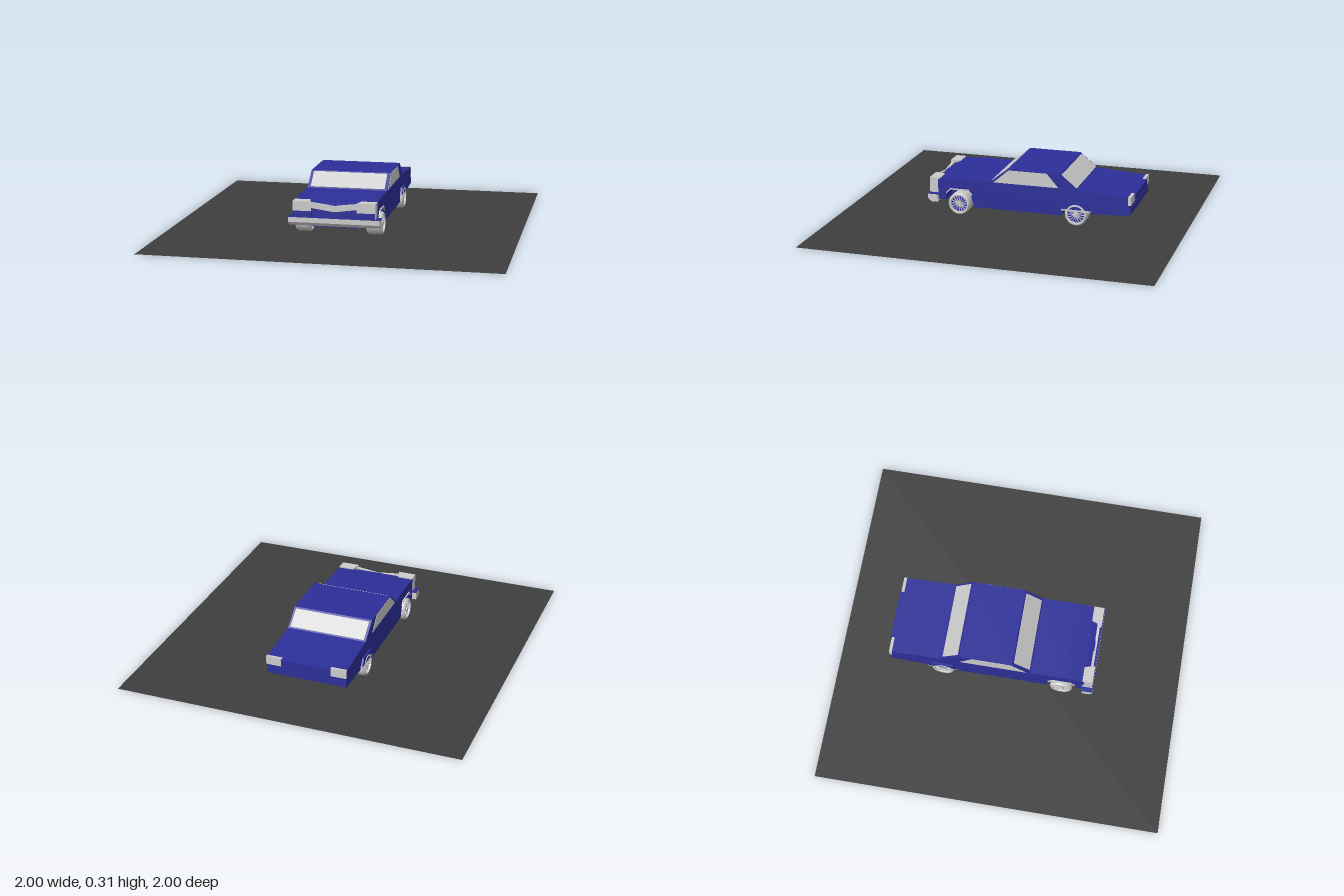
import * as THREE from 'three';

const grey = new THREE.MeshStandardMaterial({ color: 0xcccccc, flatShading: true });
const blue = new THREE.MeshStandardMaterial({ color: 0x2c2f98, flatShading: true });
const dark = new THREE.MeshStandardMaterial({ color: 0x3e3e3e, side: THREE.DoubleSide });

const shapeOf = pts => new THREE.Shape(pts.map(p => new THREE.Vector2(...p)));
const extrude = (pts, depth) =>
  new THREE.ExtrudeGeometry(shapeOf(pts), { depth, bevelEnabled: false });

function add(parent, name, geometry, material) {
  const mesh = new THREE.Mesh(geometry, material);
  mesh.name = name;
  parent.add(mesh);
  return mesh;
}

// Side profile given as [z, y], spanning x0..x1
function slab(parent, name, pts, x0, x1, material) {
  const g = extrude(pts, x1 - x0);
  g.rotateY(-Math.PI / 2).translate(x1, 0, 0);
  return add(parent, name, g, material);
}

// Box from its min and max corners
function box(parent, name, [x0, y0, z0], [x1, y1, z1], material) {
  const g = new THREE.BoxGeometry(x1 - x0, y1 - y0, z1 - z0);
  g.translate((x0 + x1) / 2, (y0 + y1) / 2, (z0 + z1) / 2);
  return add(parent, name, g, material);
}

// Wheel whose outer face looks along +x
function wheel(name) {
  const group = new THREE.Group();
  group.name = name;
  const profile = [[0.05, -0.045], [0.058, -0.045], [0.065, -0.035], [0.065, 0.035],
    [0.058, 0.045], [0.05, 0.045], [0.047, 0.025], [0.05, -0.045]];
  const tyre = new THREE.LatheGeometry(profile.map(p => new THREE.Vector2(...p)), 28);
  add(group, 'tyre', tyre.rotateZ(-Math.PI / 2), grey);
  const disc = new THREE.CylinderGeometry(0.049, 0.049, 0.06, 28);
  add(group, 'rimDisc', disc.rotateZ(Math.PI / 2), blue);
  for (let i = 0; i < 16; i++) {
    const g = new THREE.BoxGeometry(0.006, 0.034, 0.004);
    g.translate(0.034, 0.03, 0).rotateX(i * Math.PI / 8);
    add(group, 'spoke', g, grey);
  }
  const hub = new THREE.CylinderGeometry(0.011, 0.014, 0.014, 16);
  add(group, 'hub', hub.rotateZ(-Math.PI / 2).translate(0.036, 0, 0), grey);
  return group;
}

export function createModel() {
  const model = new THREE.Group();
  model.name = 'carOnBase';
  add(model, 'basePlate', new THREE.PlaneGeometry(2, 2).rotateX(-Math.PI / 2), dark);

  const car = new THREE.Group();
  car.name = 'car';
  car.position.x = -0.01;
  model.add(car);
  const W = 0.235;

  // Lower body with wheel openings
  slab(car, 'body', [
    [0.45, 0.09], [0.45, 0.212], [0.33, 0.222], [0.135, 0.22], [-0.38, 0.22],
    [-0.69, 0.2], [-0.69, 0.12], [-0.68, 0.095], [-0.47, 0.085], [-0.455, 0.1],
    [-0.305, 0.1], [-0.29, 0.06], [0.23, 0.06], [0.25, 0.13], [0.27, 0.155],
    [0.37, 0.155], [0.395, 0.13], [0.405, 0.09],
  ], -W, W, blue);
  box(car, 'underbody', [-0.14, 0.065, -0.6], [0.14, 0.16, 0.44], blue);

  // Cabin and glass
  slab(car, 'cabin', [[0.135, 0.22], [0.03, 0.305], [-0.28, 0.305], [-0.385, 0.22]], -W, W, blue);
  slab(car, 'windshield', [[0.126, 0.222], [0.13, 0.228], [0.04, 0.301], [0.034, 0.297]],
    -0.218, 0.218, grey);
  slab(car, 'rearWindow', [[-0.376, 0.222], [-0.381, 0.228], [-0.292, 0.3], [-0.286, 0.296]],
    -0.222, 0.222, grey);

  // Nose, grille and front bumper
  slab(car, 'nose', [[0.44, 0.1], [0.48, 0.1], [0.48, 0.2], [0.44, 0.213]], -0.15, 0.15, blue);
  const grille = extrude([[-0.135, 0.213], [0, 0.197], [0.135, 0.213],
    [0.135, 0.182], [0, 0.163], [-0.135, 0.182]], 0.015);
  add(car, 'grille', grille.translate(0, 0, 0.475), grey);
  slab(car, 'frontBumper', [[0.445, 0.08], [0.485, 0.08], [0.505, 0.1], [0.505, 0.128],
    [0.445, 0.128]], -0.26, 0.26, grey);
  box(car, 'bumperTop', [-0.262, 0.126, 0.44], [0.262, 0.13, 0.504], blue);

  // Rear panel and bumper ridge
  box(car, 'rearPanel', [-0.145, 0.16, -0.705], [0.145, 0.2, -0.68], blue);
  box(car, 'rearBumper', [-W, 0.1, -0.695], [W, 0.135, -0.67], blue);

  // Mirrored side parts
  for (const s of [-1, 1]) {
    const side = s > 0 ? 'left' : 'right';
    const span = (a, b) => s > 0 ? [a, b] : [-b, -a];

    const [g0, g1] = span(W - 0.002, W + 0.002);
    slab(car, side + 'SideWindow', [[0.112, 0.222], [0.022, 0.301], [-0.205, 0.301],
      [-0.275, 0.222]], g0, g1, grey);

    const lamp = extrude([[s * W, 0.44], [s * 0.145, 0.44], [s * 0.13, 0.5], [s * W, 0.5]], 0.095);
    add(car, side + 'HeadlightHousing', lamp.rotateX(Math.PI / 2).translate(0, 0.22, 0), grey);
    const [p0, p1] = span(0.13, W - 0.001);
    box(car, side + 'LampPanel', [p0, 0.13, 0.49], [p1, 0.165, 0.502], blue);

    const [t0, t1] = span(0.145, W + 0.001);
    box(car, side + 'TailLight', [t0, 0.155, -0.697], [t1, 0.204, -0.68], grey);

    // Arch trim and rear fender flare
    const [a0, a1] = span(W - 0.02, W + 0.006);
    slab(car, side + 'FrontArchTrim', [[0.245, 0.13], [0.267, 0.156], [0.373, 0.156],
      [0.398, 0.13], [0.402, 0.134], [0.376, 0.163], [0.264, 0.163], [0.24, 0.134]], a0, a1, grey);
    const [f0, f1] = span(W - 0.01, W + 0.012);
    slab(car, side + 'RearFlare', [[-0.295, 0.104], [-0.465, 0.104], [-0.44, 0.145],
      [-0.32, 0.145]], f0, f1, blue);
    box(car, side + 'RearArchTrim', [f0, 0.095, -0.465], [f1, 0.105, -0.295], grey);

    for (const [end, z] of [['Front', 0.32], ['Rear', -0.38]]) {
      const w = wheel(side + end + 'Wheel');
      w.position.set(s * 0.205, 0.075, z);
      w.rotation.y = s > 0 ? 0 : Math.PI;
      car.add(w);
    }
  }
  return model;
}
